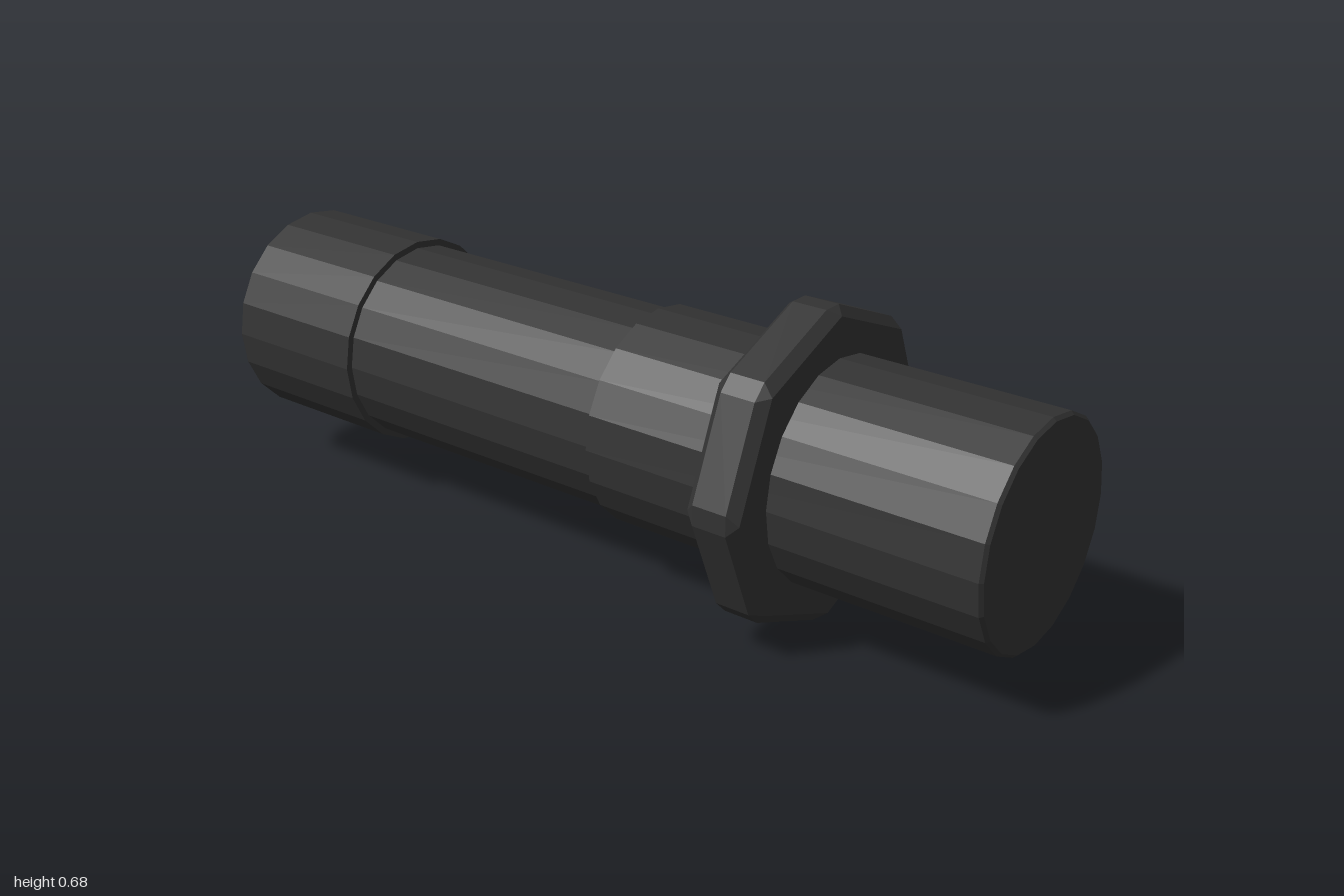
import * as THREE from 'three';

const AXIS_Y = 0.342;

// Faceted section turned about the z axis; profile is [radius, z] from back to front
function turned(name, profile, material) {
  const points = profile.map(([r, z]) => new THREE.Vector2(r, z));
  const geometry = new THREE.LatheGeometry(points, 20);
  geometry.rotateX(Math.PI / 2);
  const mesh = new THREE.Mesh(geometry, material);
  mesh.name = name;
  return mesh;
}

// Eight-sided collar with bevelled rims and corners, lofted from 16-point rings
function collarGeometry() {
  const sides = 8, count = sides * 2;
  // [radius, half angle of the corner bevel, z]
  const rings = [
    [0, 0, 0.415],
    [0.327, 0, 0.415],
    [0.342, 0.064, 0.437],
    [0.342, 0.064, 0.515],
    [0.327, 0, 0.537],
    [0, 0, 0.537],
  ];
  const positions = [], index = [];
  for (const [r, bevel, z] of rings) {
    for (let i = 0; i < count; i++) {
      const a = Math.floor(i / 2) * (Math.PI * 2 / sides) + (i % 2 ? bevel : -bevel);
      positions.push(r * Math.cos(a), r * Math.sin(a), z);
    }
  }
  for (let k = 0; k < rings.length - 1; k++) {
    for (let i = 0; i < count; i++) {
      const j = (i + 1) % count;
      const a = k * count + i, b = k * count + j;
      index.push(a, b, b + count, a, b + count, a + count);
    }
  }
  const geometry = new THREE.BufferGeometry();
  geometry.setAttribute('position', new THREE.Float32BufferAttribute(positions, 3));
  geometry.setIndex(index);
  geometry.computeVertexNormals();
  return geometry;
}

export function createModel() {
  const darkPlastic = new THREE.MeshStandardMaterial({ color: 0x333333, flatShading: true });
  darkPlastic.name = 'dark plastic';

  const model = new THREE.Group();
  model.name = 'pipeFitting';

  // Front stub and neck behind the collar, with a small front chamfer
  model.add(turned('frontBarrel',
    [[0.225, 0.09], [0.24, 0.09], [0.24, 0.993], [0.233, 1], [0, 1]], darkPlastic));

  // Narrower middle
  model.add(turned('middleShank', [[0.225, -0.61], [0.225, 0.09]], darkPlastic));

  // Rear section with a chamfered end
  model.add(turned('rearBarrel',
    [[0, -1], [0.207, -1], [0.24, -0.967], [0.24, -0.61], [0.225, -0.61]], darkPlastic));

  // Collar
  const collar = new THREE.Mesh(collarGeometry(), darkPlastic);
  collar.name = 'octagonalCollar';
  model.add(collar);

  for (const part of model.children) part.position.y = AXIS_Y;
  return model;
}
